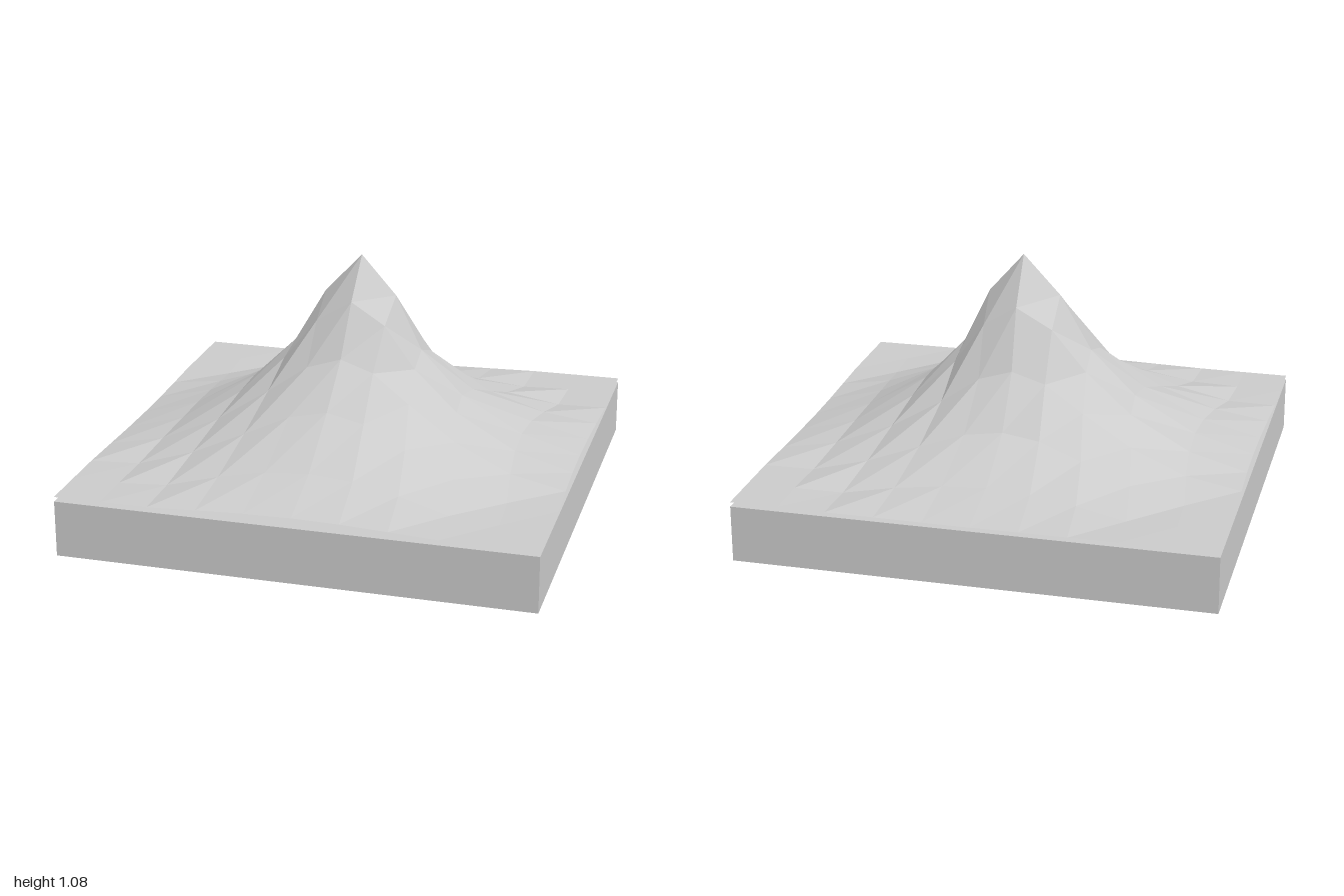
import * as THREE from 'three';

// Values sampled at these distances from the middle of the undeformed grid
const RADII = [0, 0.2, 0.4, 0.6, 0.8, 1, 1.15, 1.5];
const PULL = [1, 0.775, 0.7, 0.78, 0.915, 0.985, 1, 1]; // how far points are drawn inward
const SHIFT = [1, 0.8, 0.3, 0, 0, 0, 0, 0]; // lean of the summit
// Slope heights toward each side
const SIDES = [1.08, 0.91, 0.675, 0.485, 0.335, 0.262, 0.26, 0.26];
const FRONT = [1.08, 0.915, 0.70, 0.53, 0.365, 0.277, 0.262, 0.26];
const BACK = [1.08, 0.89, 0.65, 0.45, 0.31, 0.25, 0.257, 0.26];

function sample(values, r) {
  let i = 0;
  while (i < RADII.length - 2 && r > RADII[i + 1]) i++;
  const t = (r - RADII[i]) / (RADII[i + 1] - RADII[i]);
  return THREE.MathUtils.lerp(values[i], values[i + 1], t);
}

// Grid sheet drawn up into a peak
function createTerrain() {
  const geometry = new THREE.PlaneGeometry(2, 2, 10, 10).rotateX(-Math.PI / 2);
  const p = geometry.attributes.position;
  for (let i = 0; i < p.count; i++) {
    const x = p.getX(i), z = p.getZ(i);
    const r = Math.hypot(x, z);
    const pull = sample(PULL, r), shift = sample(SHIFT, r);
    // Blend the side slope with the front or back slope by direction
    const w = r > 1e-4 ? (z * z) / (r * r) : 0;
    const y = THREE.MathUtils.lerp(sample(SIDES, r), sample(z > 0 ? FRONT : BACK, r), w);
    // Edge points stay on the rim along the edge's own direction
    p.setXYZ(i, x * pull + 0.025 * shift, y, z * pull + 0.006 * shift);
  }
  geometry.computeVertexNormals();
  return geometry;
}

export function createModel() {
  const group = new THREE.Group();
  group.name = 'mountainOnBase';

  // Square slab
  const base = new THREE.Mesh(
    new THREE.BoxGeometry(2, 0.24, 2),
    new THREE.MeshStandardMaterial({ color: 0xcccccc, flatShading: true })
  );
  base.name = 'base';
  base.position.y = 0.12;
  group.add(base);

  // Thin faceted mountain sheet just above the slab
  const mountain = new THREE.Mesh(
    createTerrain(),
    new THREE.MeshStandardMaterial({ color: 0xcccccc, flatShading: true, side: THREE.DoubleSide })
  );
  mountain.name = 'mountain';
  group.add(mountain);

  return group;
}
